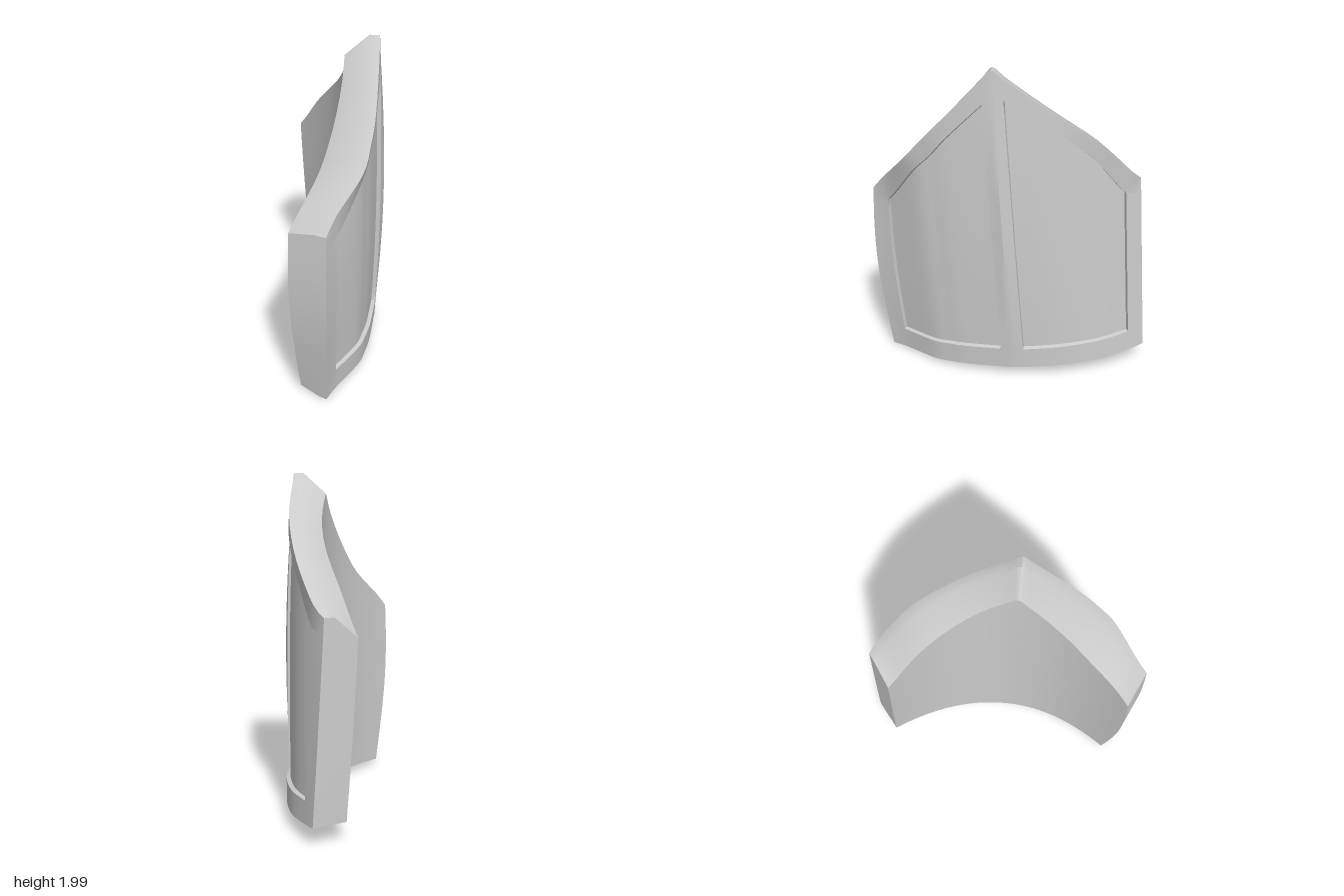
import * as THREE from 'three';
import { toCreasedNormals } from 'three/addons/utils/BufferGeometryUtils.js';

// Stations from front to back: x, then [z, y] at bottom edge, panel bottom, panel top, top edge
const stations = [
  [-0.06, [0.78, 0.01], [0.80, 0.155], [0.853, 1.08], [0.85, 1.14]],
  [-0.005, [0.68, 0.018], [0.69, 0.155], [0.75, 1.09], [0.775, 1.235]],
  [0.135, [0.47, 0.033], [0.48, 0.168], [0.565, 1.34], [0.63, 1.405]],
  [0.18, [0.35, 0.042], [0.36, 0.178], [0.45, 1.46], [0.52, 1.53]],
  [0.21, [0.24, 0.05], [0.25, 0.186], [0.35, 1.58], [0.40, 1.66]],
  [0.245, [0.02, 0.064], [0.03, 0.20], [0.13, 1.80], [0.14, 1.935]],
  [0.252, [-0.04, 0.068], [-0.04, 0.203], [0.07, 1.85], [0.08, 2.0]],
  [0.245, [-0.12, 0.072], [-0.11, 0.205], [0.01, 1.83], [0.01, 1.945]],
  [0.21, [-0.35, 0.084], [-0.34, 0.218], [-0.25, 1.66], [-0.25, 1.76]],
  [0.13, [-0.59, 0.097], [-0.58, 0.231], [-0.50, 1.45], [-0.54, 1.54]],
  [0.02, [-0.77, 0.11], [-0.76, 0.24], [-0.70, 1.19], [-0.73, 1.325]],
  [-0.045, [-0.86, 0.12], [-0.853, 0.24], [-0.79, 1.19], [-0.785, 1.26]],
];
const EPS = 0.025, DEPTH = 0.024, ROWS = 14;
const { smoothstep } = THREE.MathUtils;

// One smooth guide curve for each of the four levels
const guides = [1, 2, 3, 4].map((k) => new THREE.CatmullRomCurve3(
  stations.map((s) => new THREE.Vector3(s[0], s[k][1], s[k][0])), false, 'catmullrom'));

// Grid columns and rows, with a thin step just inside each panel border
const panelColumns = (a, b) => {
  const list = [[a, false], [a + EPS, true]];
  for (let u = a + 0.25; u < b - 0.1; u += 0.25) list.push([u, true]);
  return [...list, [b - EPS, true], [b, false]];
};
const columns = [[0, false], [0.5, false], ...panelColumns(1, 5), [5.5, false], [6, false],
  [6.5, false], ...panelColumns(7, 10), [10.5, false], [11, false]];
const rows = [[-1, false], [0, false], [0.005, true]];
for (let i = 1; i < ROWS; i++) rows.push([i / ROWS, true]);
rows.push([0.995, true], [1, false], [2, false]);

function surfacePoint(u, v) {
  const [b, pb, pt, t] = guides.map((g) => g.getPoint(u / (stations.length - 1)));
  const p = v < 0 ? b : v > 1 ? t : pb.lerp(pt, v);
  // upright bow of the plate, and the lean of its back end
  p.x -= 0.03 * (p.y - 1) ** 2 * (1 - Math.abs(p.z));
  if (p.z < 0) p.x -= 0.05 * p.y * (p.z / 0.8) ** 2;
  // swell of the middle ridge and of the front edge
  if (v > 0 && v < 1) {
    const swell = Math.sin(Math.PI * v);
    p.x += 0.015 * swell * Math.exp(-(((u - 6) / 0.6) ** 2));
    p.z += 0.03 * swell * Math.max(0, p.z / 0.85) ** 4;
  }
  return p;
}

// Moves a point through the thickness: amount 0 is outside, 1 is on the hollow arc inside
function inward(p, amount, v) {
  const z = p.z * (p.z > 0 ? 0.88 : 0.85);
  const x = 0.03 - z * z * (z > 0 ? 0.53 : 0.45 + 0.18 * p.y);
  const q = p.clone().lerp(new THREE.Vector3(x, p.y, z), amount);
  const slope = Math.max(0, (amount - 0.3) / 0.7);
  if (v > 0) q.y -= slope * 0.12 * Math.min(v, 1) * (1 - 0.75 * smoothstep(p.z, 0.5, 0.85));
  if (v < 0) q.y += slope * 0.03 * Math.max(0, p.z / 0.78);
  return q;
}

function quadMesh(name, quads) {
  const pos = [];
  for (const [a, b, c, d] of quads) for (const p of [a, b, c, a, c, d]) pos.push(p.x, p.y, p.z);
  const geo = new THREE.BufferGeometry();
  geo.setAttribute('position', new THREE.Float32BufferAttribute(pos, 3));
  const mesh = new THREE.Mesh(toCreasedNormals(geo, 0.65),
    new THREE.MeshStandardMaterial({ color: 0xcccccc }));
  mesh.name = name;
  return mesh;
}

function gridQuads(grid, flip) {
  const quads = [];
  for (let c = 0; c < grid.length - 1; c++) {
    for (let r = 0; r < grid[c].length - 1; r++) {
      const q = [grid[c][r], grid[c + 1][r], grid[c + 1][r + 1], grid[c][r + 1]];
      quads.push(flip ? q.reverse() : q);
    }
  }
  return quads;
}

// Boundary of a grid, anticlockwise as seen from outside
function border(grid) {
  const n = grid.length - 1, m = grid[0].length - 1, loop = [];
  for (let c = 0; c < n; c++) loop.push(grid[c][0]);
  for (let r = 0; r < m; r++) loop.push(grid[n][r]);
  for (let c = n; c > 0; c--) loop.push(grid[c][m]);
  for (let r = m; r > 0; r--) loop.push(grid[0][r]);
  return loop;
}

export function createModel() {
  const group = new THREE.Group();
  group.name = 'curvedArmourPlate';
  const layer = (amount) => columns.map(([u]) => rows.map(([v]) => inward(surfacePoint(u, v), amount, v)));

  // Outer face with two sunken panels
  const outer = layer(0);
  const recessed = outer.map((col, c) => col.map((p, r) => {
    const q = p.clone();
    if (columns[c][1] && rows[r][1]) {
      q.x -= DEPTH;
      q.z -= DEPTH * 0.5 * p.z;
    }
    return q;
  }));
  group.add(quadMesh('outerFaceWithPanels', gridQuads(recessed, false)));

  // Smooth hollow face
  const inner = layer(1);
  group.add(quadMesh('innerFace', gridQuads(inner, true)));

  // Thick rim joining both faces, sloped from part way in
  const loops = [outer, layer(0.3), inner].map(border);
  const quads = [];
  for (let k = 0; k < 2; k++) {
    loops[k].forEach((a, i) => {
      const j = (i + 1) % loops[k].length;
      quads.push([a, loops[k + 1][i], loops[k + 1][j], loops[k][j]]);
    });
  }
  group.add(quadMesh('rim', quads));
  return group;
}
